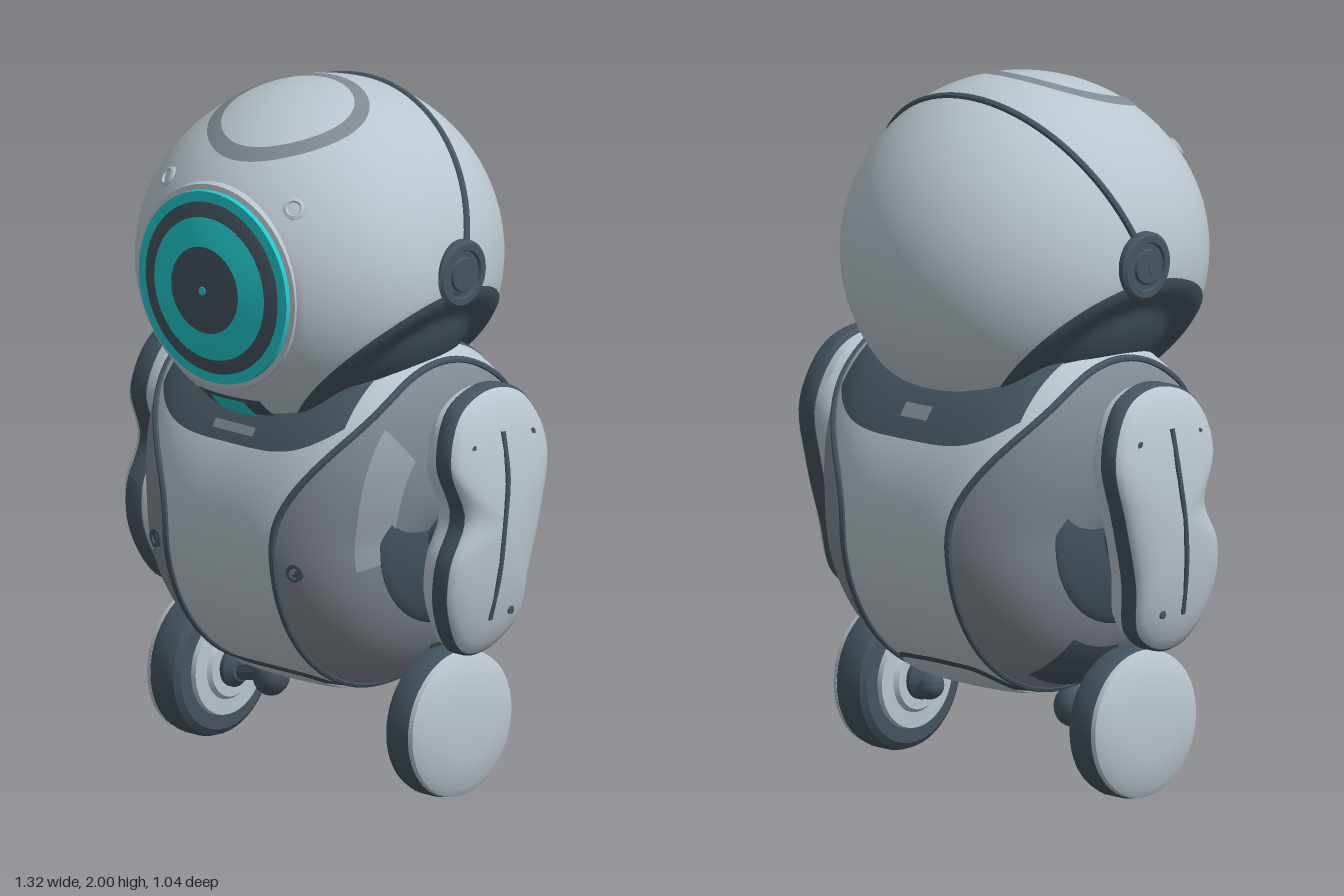
import * as THREE from 'three';
import { toCreasedNormals } from 'three/addons/utils/BufferGeometryUtils.js';

const mat = (name, color) => Object.assign(new THREE.MeshStandardMaterial({ color }), { name });
const V = (x, y, z) => new THREE.Vector3(x, y, z);
const { sin, cos, PI, sqrt, pow } = Math;
const rad = THREE.MathUtils.degToRad;
const smooth = THREE.MathUtils.smoothstep;

// Surface from a function of u and v; the front faces u cross v
function grid(f, nu, nv) {
  const pos = [], idx = [];
  for (let j = 0; j <= nv; j++) for (let i = 0; i <= nu; i++) pos.push(...f(i / nu, j / nv));
  for (let j = 0; j < nv; j++) for (let i = 0; i < nu; i++) {
    const a = j * (nu + 1) + i, c = a + nu + 1;
    idx.push(a, a + 1, c, a + 1, c + 1, c);
  }
  const g = new THREE.BufferGeometry();
  g.setAttribute('position', new THREE.Float32BufferAttribute(pos, 3));
  g.setIndex(idx);
  g.computeVertexNormals();
  return g;
}

// Turned parts: [radius, position along the axis], ascending
const turned = (pts, seg = 48) => new THREE.LatheGeometry(pts.map(p => new THREE.Vector2(...p)), seg);
const turnX = (pts, seg) => turned(pts, seg).rotateZ(-PI / 2);
const turnZ = (pts, seg) => turned(pts, seg).rotateX(PI / 2);
const tube = (pts, r, closed = false, n = 24) =>
  new THREE.TubeGeometry(new THREE.CatmullRomCurve3(pts, closed), n, r, 8, closed);

function mirrored(geo) {
  const g = geo.clone().scale(-1, 1, 1), ix = g.index;
  for (let i = 0; i < ix.count; i += 3) {
    const t = ix.getX(i);
    ix.setX(i, ix.getX(i + 1));
    ix.setX(i + 1, t);
  }
  return g;
}

export function createModel() {
  const light = mat('lightShell', 0xbac6ce), mid = mat('greyPanel', 0x808891), pale = mat('paleGrey', 0x9ca4ac);
  const dark = mat('darkTrim', 0x465560), teal = mat('tealGlow', 0x22cacf);
  const root = new THREE.Group();
  root.name = 'robot';
  const section = name => {
    const g = new THREE.Group();
    g.name = name;
    root.add(g);
    return g;
  };
  const add = (parent, name, geo, material) => {
    const m = new THREE.Mesh(toCreasedNormals(geo, 0.6), material);
    m.name = name;
    parent.add(m);
  };
  const pair = (parent, name, geo, material) => {
    add(parent, name + 'Left', geo, material);
    add(parent, name + 'Right', mirrored(geo), material);
  };

  // Body: a barrel turned about the x axis, theta = 0 at the front, squarer at the shoulders
  const body = section('body');
  const bodyWidth = t => 0.455 + 0.045 * Math.max(0, sin(t));
  const seamX = t => 0.2 + 0.2 * smooth(sin(t), 0, 0.95);
  const onBody = (x, t, off = 0) => {
    const k = Math.min(1, Math.abs(x) / bodyWidth(t));
    const n = 3.2 + 4 * Math.max(0, sin(t)) ** 2;
    const r = 0.515 * pow(1 - pow(k, n), 0.42) + off;
    return [x, 0.78 + r * sin(t), -0.03 + 0.955 * r * cos(t)];
  };
  const patch = (x0, x1, d0, d1, off, nu = 16, nv = 24) => grid((u, v) => {
    const t = rad(d0 + (d1 - d0) * v);
    return onBody(x0(t) + (x1(t) - x0(t)) * u, t, off);
  }, nu, nv);
  add(body, 'middleShell', patch(t => -seamX(t), seamX, 0, 360, 0, 20, 96), light);
  // Collar: a crescent that climbs towards the shoulders
  add(body, 'collar', grid((u, v) => {
    const x = (2 * u - 1) * 0.34, d = 29 + 7 * pow(Math.abs(x) / 0.28, 4);
    return onBody(x, rad(d + (180 - 2 * d) * v), 0.004);
  }, 32, 40), dark);
  pair(body, 'sidePanel', grid((u, v) => {
    const t = v * 2 * PI, s = seamX(t);
    return onBody(s + (bodyWidth(t) - s) * (1 - pow(1 - u, 3)), t);
  }, 24, 80), mid);
  pair(body, 'shoulderPatch', patch(t => 0.85 * bodyWidth(t), t => 0.95 * bodyWidth(t), -12, 52, 0.004), pale);
  const seam = Array.from({ length: 48 }, (_, i) => {
    const t = i / 48 * 2 * PI;
    return V(...onBody(seamX(t), t));
  });
  pair(body, 'bodySeam', tube(seam, 0.011, true, 120), dark);
  const flat = x => () => x;
  add(body, 'collarSlot', patch(flat(-0.075), flat(0.075), 32.5, 35.5, 0.008, 8, 2), mid);
  add(body, 'collarBackMark', patch(flat(-0.05), flat(0.05), 139, 144, 0.008, 8, 2), mid);
  // Belly hatch with rounded ends on a dark rim
  for (const [name, m, half, span, off] of [['bellyHatchRim', dark, 0.185, 38, 0.005], ['bellyHatch', light, 0.175, 36.5, 0.012]]) {
    const w = t => half * pow(Math.max(0, 1 - pow((t + rad(93)) / rad(span), 6)), 0.25);
    add(body, name, patch(t => -w(t), w, -93 - span, -93 + span, off, 16, 48), m);
  }
  pair(body, 'wheelWell', patch(flat(0.27), flat(0.39), -119, -86, 0.005), dark);
  pair(body, 'armSocket', turnX([[0.27, 0.38], [0.27, 0.42], [0.25, 0.437], [0.11, 0.457], [0.1, 0.5], [0, 0.5]])
    .translate(0, 0.77, -0.03), dark);
  pair(body, 'bodyBolt', turnZ([[0.026, -0.02], [0.026, 0.006], [0.016, 0.006], [0.014, 0], [0, 0]], 16)
    .rotateY(0.25).translate(...onBody(0.26, rad(-9))), dark);

  // Head: a ball, fuller towards the eye, with a sunken cheek on each lower side
  const head = section('head');
  const tilt = rad(43), cheek = rad(41.5);
  const headRadius = a => 0.5 - 0.05 * smooth(cheek - a, 0, 0.25);
  const onHead = (x, y, z) =>
    [x * (1 + 0.05 * smooth(z, 0, 0.3)), 1.5 + y, z > 0 ? Math.min(z * 1.09, 0.455) : z];
  const ball = new THREE.SphereGeometry(0.5, 128, 96), p = ball.attributes.position, q = V(0, 0, 0);
  for (let i = 0; i < p.count; i++) {
    q.fromBufferAttribute(p, i).normalize();
    const a = Math.acos(Math.min(1, Math.abs(q.x) * cos(tilt) - q.y * sin(tilt)));
    q.multiplyScalar(headRadius(a));
    p.setXYZ(i, ...onHead(q.x, q.y, q.z));
  }
  add(head, 'headShell', ball, light);
  pair(head, 'cheekRecess', grid((u, v) => {
    const a = u * cheek, f = v * 2 * PI, r = headRadius(a) + 0.004;
    const k = sin(a) * cos(f);
    return onHead(r * (cos(tilt) * cos(a) + sin(tilt) * k),
      r * (cos(tilt) * k - sin(tilt) * cos(a)), r * sin(a) * sin(f));
  }, 20, 64), dark);
  add(head, 'headSeam', new THREE.TorusGeometry(0.5, 0.011, 8, 80, PI).rotateX(-0.385).translate(0, 1.5, 0), dark);
  pair(head, 'earDisc', turnX([[0.098, 0.45], [0.098, 0.5], [0.088, 0.508], [0.07, 0.508], [0.066, 0.501],
    [0.05, 0.501], [0.046, 0.508], [0, 0.508]]).translate(0, 1.53, -0.015), dark);
  add(head, 'crownRing', grid((u, v) => {
    const f = v * 2 * PI, k = 0.82 + 0.18 * u;
    const x = k * 0.228 * cos(f) * (1 + 0.14 * sin(f)), z = 0.17 - k * 0.22 * sin(f);
    const zr = z > 0 ? z / 1.09 : z;
    return onHead(x, sqrt(0.504 ** 2 - x * x - zr * zr), zr);
  }, 4, 72), mid);
  // Chin plate with a small light
  const chin = (half, low, high, r) => grid((u, v) => {
    const x = (2 * u - 1) * half, y = low + (high - low) * v;
    return onHead(x, y, sqrt(r * r - x * x - y * y));
  }, 10, 6);
  add(head, 'chinPlate', chin(0.11, -0.41, -0.325, 0.506), dark);
  add(head, 'chinLight', chin(0.06, -0.405, -0.335, 0.511), teal);
  const bolt = turnZ([[0.032, -0.02], [0.032, 0.004], [0.022, 0.008], [0.018, 0.002], [0, 0.002]], 20)
    .rotateX(-0.54).rotateY(0.54).translate(0.235, 1.76, 0.396);
  pair(head, 'browBolt', bolt, light);

  // Eye: rings of a shallow dome
  const eye = section('eye');
  [['bezel', light, [[0.3, 0.43], [0.294, 0.457], [0.27, 0.462]]],
    ['outerGlow', teal, [[0.28, 0.45], [0.277, 0.474], [0.248, 0.478]]],
    ['lensRing', dark, [[0.248, 0.478], [0.23, 0.484], [0.206, 0.489]]],
    ['iris', teal, [[0.206, 0.489], [0.165, 0.5], [0.125, 0.508]]],
    ['pupil', dark, [[0.125, 0.508], [0.07, 0.515], [0, 0.518]]],
    ['glint', teal, [[0.013, 0.515], [0.012, 0.52], [0, 0.521]]],
  ].forEach(([name, m, pts]) => add(eye, name, turnZ(pts, 64).translate(0, 1.5, 0), m));

  // Arms: a waisted outline (z, y) lofted through three layers, all bowed outwards at mid height
  const arms = section('arms');
  const outline = new THREE.CatmullRomCurve3([[0.15, 1.02], [0.1, 0.86], [0.16, 0.73], [0.16, 0.6], [0.08, 0.46],
    [-0.02, 0.435], [-0.14, 0.5], [-0.17, 0.65], [-0.22, 0.84], [-0.255, 1.02], [-0.18, 1.17], [-0.05, 1.21],
    [0.09, 1.16]].map(([z, y]) => V(0, y, z)), true);
  const ring = outline.getPoints(72);
  // levels [x, scale] run from the outside in
  const loft = levels => grid((u, v) => {
    const [x, k] = levels[Math.round(u * (levels.length - 1))], o = ring[Math.round(v * 72)];
    const dy = (o.y - 0.83) * k;
    return [x + 0.04 * (1 - (dy / 0.39) ** 2), 0.83 + dy, -0.035 + (o.z + 0.035) * k];
  }, levels.length - 1, 72);
  const layers = [
    ['armShell', light, [[0.615, 0], [0.613, 0.3], [0.608, 0.55], [0.6, 0.76], [0.588, 0.9], [0.575, 0.97], [0.566, 0.985], [0.555, 0.9]]],
    ['armBand', dark, [[0.572, 0.9], [0.57, 0.985], [0.56, 1], [0.525, 1], [0.514, 0.98], [0.505, 0.9]]],
    ['armInner', light, [[0.52, 0.9], [0.518, 0.97], [0.49, 0.96], [0.462, 0.88], [0.445, 0.7], [0.44, 0]]],
  ];
  for (const [name, m, levels] of layers) pair(arms, name, loft(levels), m);
  pair(arms, 'armSlot', tube([V(0.624, 1.09, -0.045), V(0.647, 0.96, -0.04), V(0.652, 0.82, -0.02),
    V(0.645, 0.69, -0.008), V(0.619, 0.55, 0.005)], 0.009), dark);
  for (const [y, z] of [[1.06, 0.07], [1.06, -0.17], [0.56, -0.08]])
    pair(arms, 'armBolt', turnX([[0.012, 0.58], [0.012, 0.625], [0, 0.627]], 12).translate(0, y, z), dark);

  // Wheels
  const wheels = section('wheels');
  [['tyre', dark, [[0.1, 0.385], [0.19, 0.387], [0.208, 0.4], [0.215, 0.42], [0.215, 0.465], [0.21, 0.485], [0.19, 0.49]]],
    ['wheelCover', light, [[0.19, 0.48], [0.211, 0.484], [0.208, 0.498], [0.18, 0.514], [0.1, 0.526], [0, 0.53]]],
    ['wheelHub', light, [[0, 0.358], [0.09, 0.358], [0.1, 0.37], [0.145, 0.372], [0.15, 0.392]]],
    ['hubCap', dark, [[0, 0.325], [0.04, 0.325], [0.06, 0.345], [0.06, 0.365]]],
  ].forEach(([name, m, pts]) => pair(wheels, name, turnX(pts, 48).translate(0, 0.215, -0.015), m));

  // Struts and axles
  pair(wheels, 'strut', tube([V(0.35, 0.24, -0.02), V(0.34, 0.3, -0.04), V(0.28, 0.38, -0.05)], 0.025), dark);
  add(wheels, 'axleRight', tube([V(-0.35, 0.2, -0.015), V(-0.27, 0.22, -0.01), V(-0.19, 0.24, 0)], 0.028), dark);
  add(wheels, 'axleBallRight', new THREE.SphereGeometry(0.053, 20, 14).scale(1, 1.1, 1).translate(-0.205, 0.22, 0), dark);
  add(wheels, 'axleBallLeft', new THREE.SphereGeometry(0.042, 20, 14).translate(0.325, 0.2, -0.015), dark);
  return root;
}
